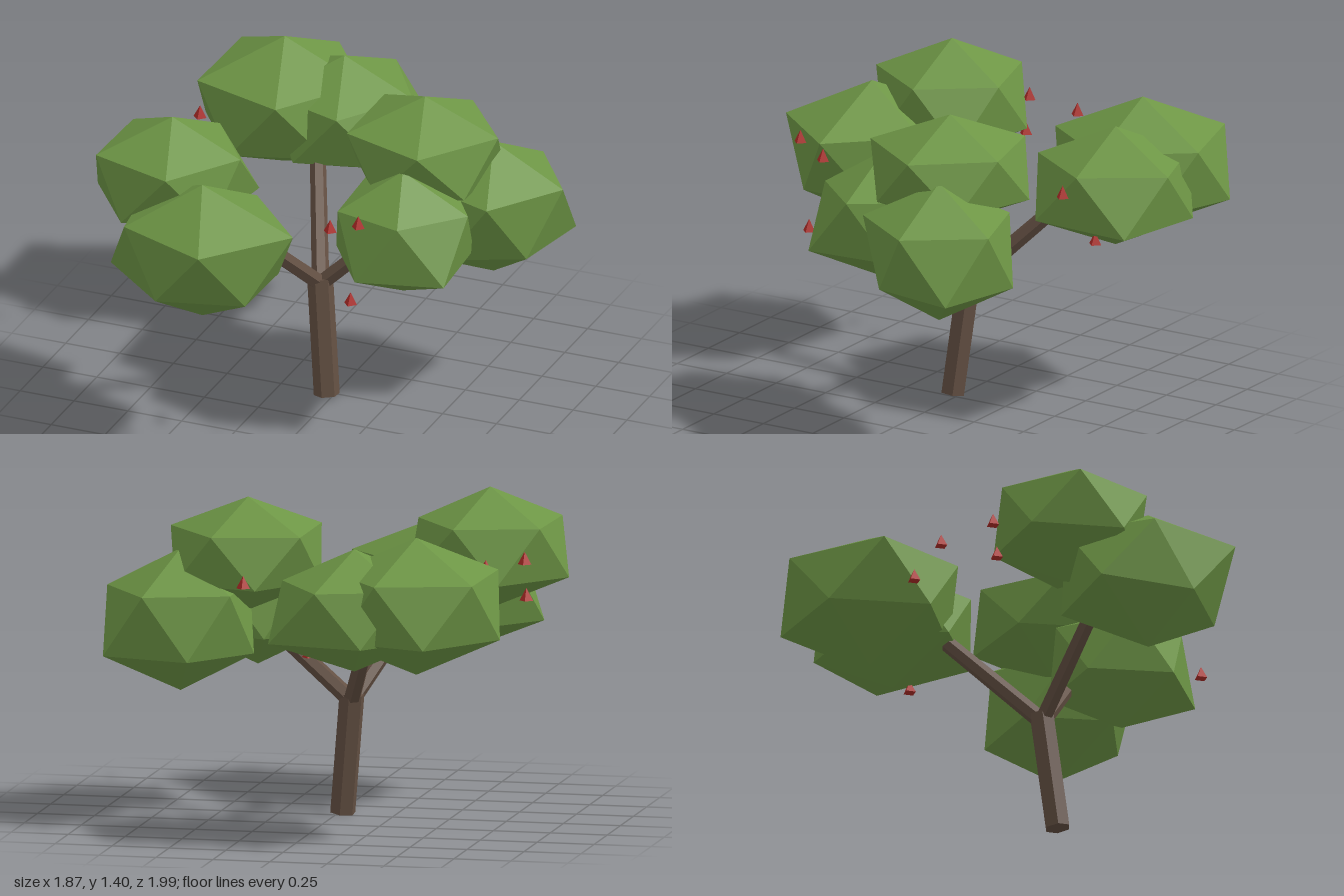
import * as THREE from 'three';

const flat = (name, color) => {
  const m = new THREE.MeshStandardMaterial({ color, flatShading: true });
  m.name = name;
  return m;
};

// Icosahedron with one corner straight up; each of its ten side corners,
// going round from +x towards +z, is pushed in or out by its own factor
function clumpGeometry(factors) {
  const geometry = new THREE.IcosahedronGeometry(1, 0);
  geometry.rotateZ(-Math.atan(2 / (1 + Math.sqrt(5))));
  const p = geometry.attributes.position;
  for (let i = 0; i < p.count; i++) {
    if (Math.abs(p.getY(i)) > 0.9) continue;
    const step = Math.round(Math.atan2(p.getZ(i), p.getX(i)) / (Math.PI / 5));
    const f = factors[(step + 10) % 10];
    p.setXYZ(i, p.getX(i) * f, p.getY(i), p.getZ(i) * f);
  }
  geometry.computeVertexNormals();
  return geometry;
}

export function createModel() {
  const bark = flat('bark brown', 0x645043);
  const leaf = flat('leaf green', 0x6d9545);
  const red = flat('fruit red', 0xb02c28);
  const tree = new THREE.Group();
  tree.name = 'tree';

  const add = (name, geometry, material, position) => {
    const mesh = new THREE.Mesh(geometry, material);
    mesh.name = name;
    mesh.position.set(...position);
    tree.add(mesh);
    return mesh;
  };

  // Six-sided limb running from one point to another
  const limb = (name, from, to, r0, r1) => {
    const a = new THREE.Vector3(...from), b = new THREE.Vector3(...to);
    const dir = b.clone().sub(a);
    const mesh = add(name, new THREE.CylinderGeometry(r1, r0, dir.length(), 6), bark,
      a.clone().add(b).multiplyScalar(0.5).toArray());
    mesh.quaternion.setFromUnitVectors(new THREE.Vector3(0, 1, 0), dir.normalize());
  };

  // Trunk and the three branches forking from its top
  limb('trunk', [-0.025, 0.005, 0.03], [-0.077, 0.53, -0.02], 0.056, 0.056);
  limb('frontBranch', [-0.075, 0.5, -0.02], [-0.34, 0.98, 0.45], 0.038, 0.034);
  limb('rightBranch', [-0.075, 0.5, -0.02], [0.35, 0.9, -0.08], 0.038, 0.034);
  limb('backBranch', [-0.075, 0.5, -0.02], [-0.28, 0.96, -0.47], 0.038, 0.034);

  // Leaf clumps: centre, radii, side corner factors
  const clumps = [
    [[-0.345, 0.905, 0.64], [0.47, 0.31, 0.415], [1, 0.8, 1, 0.78, 0.84, 1.01, 1, 1, 0.91, 0.82]],
    [[-0.59, 1.117, 0.39], [0.375, 0.263, 0.374], [0.94, 0.95, 1, 1, 1, 1.03, 0.96, 0.99, 0.93, 1.14]],
    [[-0.5, 1.023, -0.63], [0.41, 0.297, 0.435], [1, 1, 1, 0.96, 1.03, 1, 1, 1, 0.94, 1]],
    [[-0.235, 1.0, -0.66], [0.365, 0.265, 0.385], [0.97, 1.1, 1, 1, 1, 1, 1, 1, 1, 1.22]],
    [[0.34, 1.15, -0.185], [0.38, 0.245, 0.394], [1, 0.97, 1, 0.93, 1, 0.94, 1, 1, 0.9, 1]],
    [[0.37, 0.902, 0.13], [0.345, 0.283, 0.355], [0.98, 1.11, 0.82, 1, 0.92, 1, 1, 1, 1, 1]],
    [[0.61, 0.873, -0.3], [0.36, 0.308, 0.366], [1, 0.85, 1.03, 1, 1, 1, 1, 1, 1, 1.12]],
  ];
  clumps.forEach(([centre, radii, factors], i) => {
    add('leafClump' + (i + 1), clumpGeometry(factors), leaf, centre).scale.set(...radii);
  });

  // Small four-sided fruits
  const fruit = new THREE.ConeGeometry(0.03, 0.055, 4);
  [
    [0.245, 1.13, 0.63], [0.31, 1.09, 0.475], [0.305, 0.76, 0.548],
    [0.245, 1.11, -0.695], [-0.04, 0.82, -0.68], [-0.71, 0.99, -0.3],
    [-0.7, 1.13, -0.175], [-0.8, 1.12, 0.13], [-0.803, 0.96, 0.15],
  ].forEach((p, i) => add('fruit' + (i + 1), fruit, red, p));

  return tree;
}
